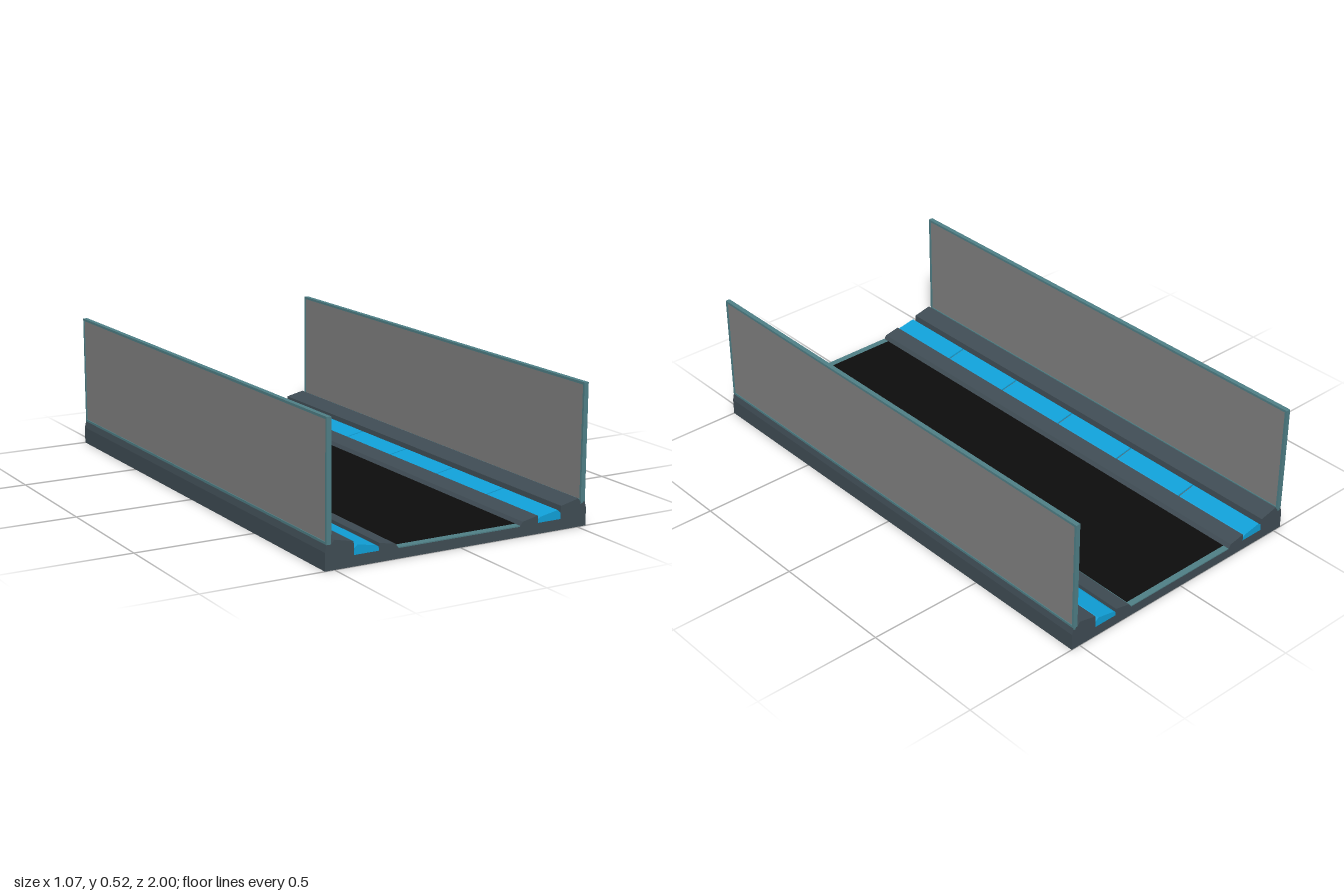
import * as THREE from 'three';

const material = (name, color) => {
  const m = new THREE.MeshStandardMaterial({ color });
  m.name = name;
  return m;
};

// Extrudes an x-y outline along z, centred on the given z
function extrude(name, points, length, z, mat) {
  const shape = new THREE.Shape(points.map(([x, y]) => new THREE.Vector2(x, y)));
  const geometry = new THREE.ExtrudeGeometry(shape, { depth: length, bevelEnabled: false });
  geometry.translate(0, 0, z - length / 2);
  const mesh = new THREE.Mesh(geometry, mat);
  mesh.name = name;
  return mesh;
}

function box(name, w, h, d, x, y, z, mat) {
  const mesh = new THREE.Mesh(new THREE.BoxGeometry(w, h, d), mat);
  mesh.position.set(x, y, z);
  mesh.name = name;
  return mesh;
}

const mirror = (points) => points.map(([x, y]) => [-x, y]).reverse();

export function createModel() {
  const metal = material('slate metal', 0x3f4c54);
  const trim = material('teal trim', 0x4f7f86);
  const glass = material('grey pane', 0x808080);
  const glow = material('blue light', 0x10a0d8);
  const black = material('black floor', 0x0d0d0d);
  const brown = material('brown joint', 0x6b5a55);

  const model = new THREE.Group();
  model.name = 'walkway';

  // Base section with a recessed floor, light channels and raised kerbs
  const half = [
    [0.537, 0], [0.537, 0.065], [0.531, 0.09], [0.512, 0.09], [0.502, 0.105],
    [0.427, 0.088], [0.425, 0.065], [0.425, 0.04], [0.328, 0.04], [0.326, 0.067],
    [0.262, 0.054], [0.25, 0.037],
  ];
  model.add(extrude('base', [...half, ...mirror(half)], 2, 0, metal));

  // Floor: trim sheet with a black mat on top
  model.add(box('floorTrim', 0.5, 0.004, 2, 0, 0.039, 0, trim));
  model.add(box('floorMat', 0.496, 0.003, 1.945, 0, 0.0415, -0.0025, black));

  // Light blocks: six per channel, with narrow joints
  const light = [
    [0.328, 0.04], [0.425, 0.04], [0.424, 0.064], [0.412, 0.075],
    [0.338, 0.061], [0.329, 0.055],
  ];
  // Outline of the joint sits just below the light surface
  const joint = [[0.33, 0.04], [0.422, 0.04], [0.41, 0.069], [0.34, 0.056]];
  const pitch = 2 / 6;
  const gap = 0.007;
  for (const side of [1, -1]) {
    const lights = new THREE.Group();
    lights.name = side > 0 ? 'leftLights' : 'rightLights';
    const outline = side > 0 ? light : mirror(light);
    const jointOutline = side > 0 ? joint : mirror(joint);
    for (let i = 0; i < 6; i++) {
      const start = -1 + i * pitch + (i > 0 ? gap / 2 : 0);
      const end = -1 + (i + 1) * pitch - (i < 5 ? gap / 2 : 0);
      lights.add(extrude('lightBlock', outline, end - start, (start + end) / 2, glow));
      if (i > 0) lights.add(extrude('lightJoint', jointOutline, gap, -1 + i * pitch, brown));
    }
    model.add(lights);

    // Side wall: framed pane standing on the kerb
    const wall = new THREE.Group();
    wall.name = side > 0 ? 'leftWall' : 'rightWall';
    const x = side * 0.522;
    const rail = 0.009;
    wall.add(box('topRail', 0.018, rail, 2, x, 0.525 - rail / 2, 0, trim));
    wall.add(box('bottomRail', 0.018, 0.016, 2, x, 0.091, 0, trim));
    for (const z of [-1, 1]) {
      wall.add(box('endPost', 0.018, 0.417, rail, x, 0.3075, z * (1 - rail / 2), trim));
    }
    wall.add(box('pane', 0.012, 0.417, 2 - 2 * rail, x, 0.3075, 0, glass));
    model.add(wall);
  }

  return model;
}
